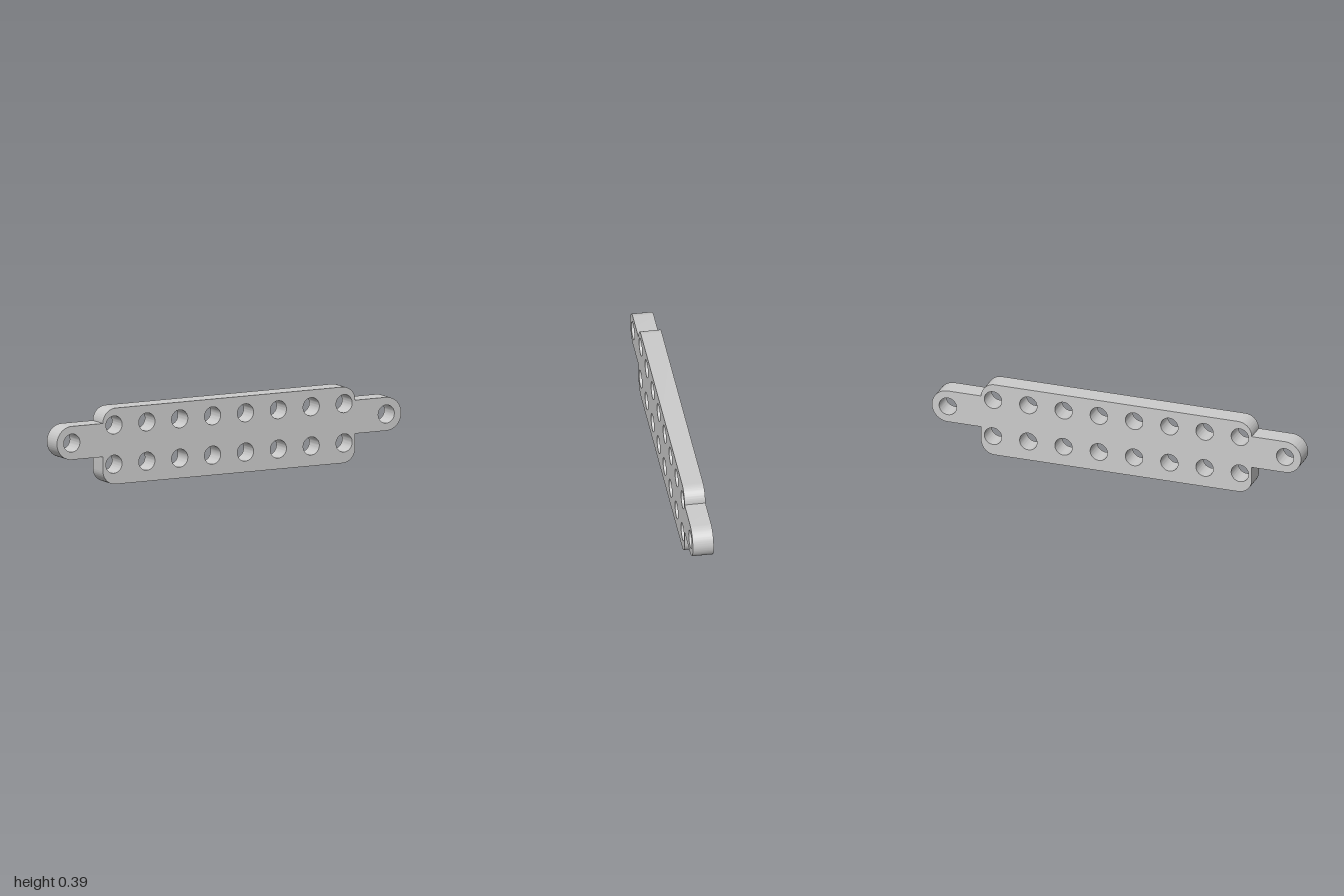
import * as THREE from 'three';
import { toCreasedNormals } from 'three/addons/utils/BufferGeometryUtils.js';

const HEIGHT = 0.394, DEPTH = 0.108;
const BODY_X = 0.733, CORNER = 0.074;
const TAB_LOW = 0.147, TAB_HIGH = 0.32;
const TAB_R = (TAB_HIGH - TAB_LOW) / 2, TAB_Y = (TAB_HIGH + TAB_LOW) / 2;
const HOLE_R = 0.047;

// Outline, counter-clockwise: rounded body with a round-ended tab on each side
function plateOutline() {
  const s = new THREE.Shape();
  const q = Math.PI / 2, cx = BODY_X - CORNER, tx = 1 - TAB_R;
  s.moveTo(-cx, 0);
  s.lineTo(cx, 0);
  s.absarc(cx, CORNER, CORNER, -q, 0, false);
  s.lineTo(BODY_X, TAB_LOW);
  s.lineTo(tx, TAB_LOW);
  s.absarc(tx, TAB_Y, TAB_R, -q, q, false);
  s.lineTo(BODY_X, TAB_HIGH);
  s.absarc(cx, HEIGHT - CORNER, CORNER, 0, q, false);
  s.lineTo(-cx, HEIGHT);
  s.absarc(-cx, HEIGHT - CORNER, CORNER, q, 2 * q, false);
  s.lineTo(-tx, TAB_HIGH);
  s.absarc(-tx, TAB_Y, TAB_R, q, 3 * q, false);
  s.lineTo(-BODY_X, TAB_LOW);
  s.lineTo(-BODY_X, CORNER);
  s.absarc(-cx, CORNER, CORNER, 2 * q, 3 * q, false);
  return s;
}

export function createModel() {
  const group = new THREE.Group();
  group.name = 'perforatedPlate';

  const shape = plateOutline();
  const addHole = (x, y) => {
    const hole = new THREE.Path();
    hole.absarc(x, y, HOLE_R, 0, Math.PI * 2, true);
    shape.holes.push(hole);
  };

  // Two rows of eight holes in the body
  for (let i = 0; i < 8; i++) {
    for (const y of [0.104, 0.307]) addHole((i - 3.5) * 0.191, y);
  }
  // One hole in each end tab
  for (const side of [-1, 1]) addHole(side * (1 - TAB_R), TAB_Y);

  const extruded = new THREE.ExtrudeGeometry(shape, {
    depth: DEPTH, bevelEnabled: false, curveSegments: 24,
  });
  extruded.translate(0, 0, -DEPTH / 2);

  const plate = new THREE.Mesh(
    toCreasedNormals(extruded, 0.6),
    new THREE.MeshStandardMaterial({ color: 0xcccccc }),
  );
  plate.name = 'plate';
  group.add(plate);
  return group;
}
